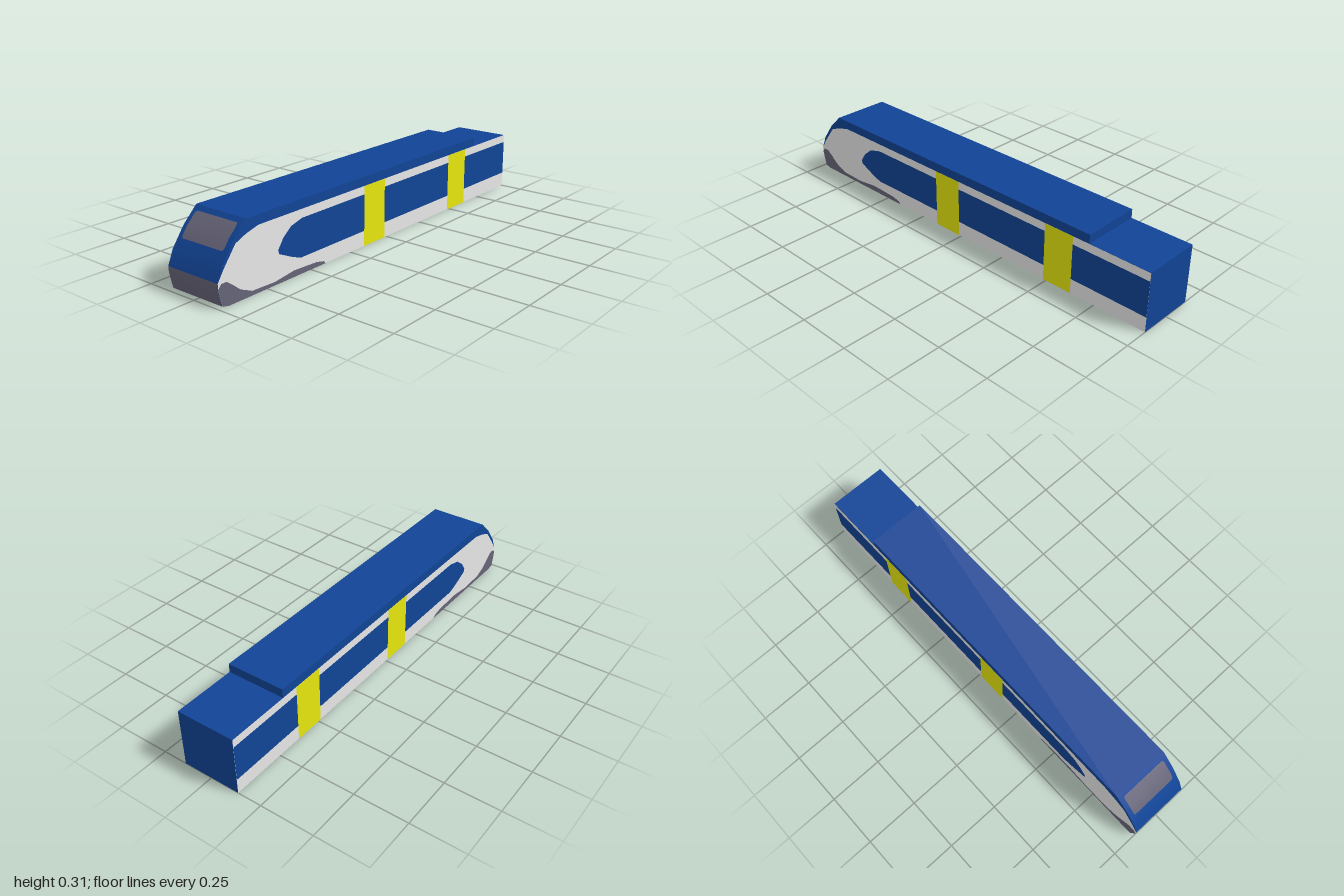
import * as THREE from 'three';

const H = 0.137; // half width of the body

const mat = (name, color, side = THREE.FrontSide) => {
  const m = new THREE.MeshStandardMaterial({ color, side });
  m.name = name;
  return m;
};

// Band of skin across the body along a side profile of [z, y, halfWidth?]
function strip(points) {
  const pos = [], idx = [];
  points.forEach(([z, y, h = H], i) => {
    pos.push(-h, y, z, h, y, z);
    if (i) {
      const a = 2 * i - 2;
      idx.push(a, a + 1, a + 3, a, a + 3, a + 2);
    }
  });
  const g = new THREE.BufferGeometry();
  g.setAttribute('position', new THREE.Float32BufferAttribute(pos, 3));
  g.setIndex(idx);
  g.computeVertexNormals();
  return g;
}

// Flat side panel from a [z, y] outline; s = 1 is the left side, -1 the right
function panel(points, s, layer) {
  const shape = new THREE.Shape(points.map(([z, y]) => new THREE.Vector2(-s * z, y)));
  return new THREE.ShapeGeometry(shape)
    .rotateY(s * Math.PI / 2)
    .translate(s * (H + layer * 0.001), 0, 0);
}

const rect = (z0, z1, y0, y1) => [[z0, y0], [z1, y0], [z1, y1], [z0, y1]];

export function createModel() {
  const group = new THREE.Group();
  const blue = mat('body blue', 0x114496);
  const white = mat('side white', 0xfafafa);
  const yellow = mat('door yellow', 0xfcfc10);
  const grey = mat('trim grey', 0x666478);

  const add = (name, geometry, material) => {
    const mesh = new THREE.Mesh(geometry, material);
    mesh.name = name;
    group.add(mesh);
  };

  // Profile pieces, going up the nose, back along the roof and under the floor
  const lowerNose = [[0.95, 0], [0.982, 0.007], [0.992, 0.045], [0.999, 0.08], [1, 0.103]];
  const upperNose = [[1, 0.103], [0.973, 0.166], [0.914, 0.246], [0.845, 0.313]];
  const roof = [[0.845, 0.313], [-0.71, 0.313]];
  const roofStep = [[-0.71, 0.313], [-0.71, 0.272]];
  const rearRoof = [[-0.71, 0.272], [-1, 0.272]];
  const rearWall = [[-1, 0.272], [-1, 0]];
  const floor = [[-1, 0], [0.95, 0]];

  add('noseBevel', strip(lowerNose.slice(0, 2)), grey);
  add('lowerNose', strip(lowerNose.slice(1)), grey);
  add('upperNose', strip(upperNose), blue);
  add('roof', strip(roof), blue);
  add('roofStep', strip(roofStep), blue);
  add('rearRoof', strip(rearRoof), blue);
  add('rearWall', strip(rearWall), blue);
  add('floor', strip(floor), grey);

  // Windscreen lying on the sloped nose
  const glass = [[0.944, 0.205, 0.109], [0.938, 0.213, 0.115], [0.914, 0.246, 0.115],
    [0.871, 0.288, 0.115], [0.8635, 0.295, 0.108]];
  add('windscreen', strip(glass.map(([z, y, h]) => [z + 0.002, y + 0.002, h])), grey);

  // Side outlines
  const wall = [...lowerNose, ...upperNose.slice(1), roof[1], ...rearRoof, rearWall[1]];
  const whiteSide = [...lowerNose, [0.965, 0.155], [0.905, 0.232], [0.85, 0.255],
    [0.785, 0.272], [-1, 0.272], [-1, 0]];
  const skirt = [[0.41, 0], ...lowerNose.slice(0, 4), [0.985, 0.098], [0.957, 0.098],
    [0.93, 0.078], [0.89, 0.045], [0.83, 0.019], [0.705, 0.015], [0.6, 0.028],
    [0.465, 0.022], [0.42, 0.012]];
  const frontWindow = [[0.155, 0.07], [0.555, 0.07], [0.6, 0.085], [0.68, 0.122],
    [0.685, 0.14], [0.655, 0.182], [0.61, 0.218], [0.545, 0.235], [0.155, 0.235]];

  for (const s of [1, -1]) {
    const side = s > 0 ? 'left' : 'right';
    add(side + 'Wall', panel(wall, s, 0), blue);
    add(side + 'WhitePanel', panel(whiteSide, s, 1), white);
    add(side + 'Skirt', panel(skirt, s, 2), grey);
    add(side + 'FrontWindow', panel(frontWindow, s, 2), blue);
    add(side + 'MiddleWindow', panel(rect(-0.485, 0.012, 0.07, 0.235), s, 2), blue);
    add(side + 'RearWindow', panel(rect(-1, -0.63, 0.07, 0.235), s, 2), blue);
    add(side + 'FrontDoor', panel(rect(0.012, 0.155, 0, 0.272), s, 2), yellow);
    add(side + 'RearDoor', panel(rect(-0.63, -0.485, 0, 0.272), s, 2), yellow);
  }
  return group;
}
